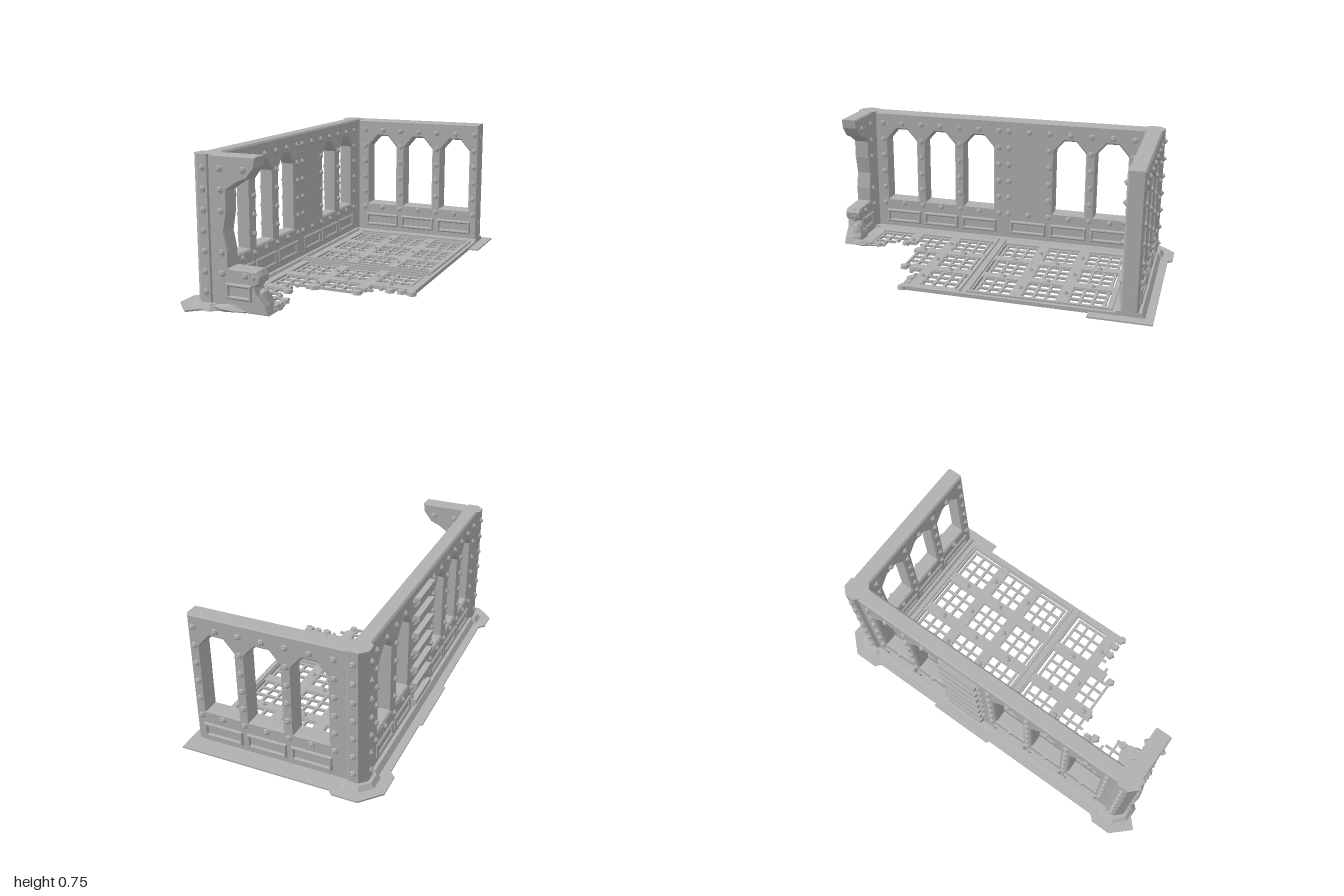
import * as THREE from 'three';
import { mergeGeometries } from 'three/addons/utils/BufferGeometryUtils.js';

const stone = new THREE.MeshStandardMaterial({ color: 0xb0b0b0 });
stone.name = 'grey stone';

const mesh = (name, geo) => {
  const m = new THREE.Mesh(geo, stone);
  m.name = name;
  return m;
};
const merged = (name, geos) => mesh(name, mergeGeometries(geos.map((g) => (g.index ? g.toNonIndexed() : g))));
const polygon = (pts) => new THREE.Shape(pts.map(([x, y]) => new THREE.Vector2(x, y)));

// Box given by its min and max on each axis
const span = (x0, x1, y0, y1, z0, z1) =>
  new THREE.BoxGeometry(x1 - x0, y1 - y0, z1 - z0).translate((x0 + x1) / 2, (y0 + y1) / 2, (z0 + z1) / 2);

// Slab with chamfered edges, centred on z = 0
function slab(shape, half, bevel = 0.009) {
  const depth = 2 * (half - bevel);
  return new THREE.ExtrudeGeometry(shape, {
    depth, bevelEnabled: true, bevelSegments: 1, bevelSize: bevel, bevelThickness: bevel, bevelOffset: -bevel,
  }).translate(0, 0, -depth / 2);
}

// Domed bolt on a round washer, facing +z
function bolt(x, y, z) {
  const washer = new THREE.CylinderGeometry(0.013, 0.017, 0.009, 12).rotateX(Math.PI / 2).translate(0, 0, 0.0045);
  const dome = new THREE.SphereGeometry(0.0085, 8, 3, 0, Math.PI * 2, 0, Math.PI / 2)
    .rotateX(Math.PI / 2).translate(0, 0, 0.008);
  return mergeGeometries([washer, dome]).translate(x, y, z);
}

// Raised rectangular panel moulding, facing +z
function panel(x, z, hw = 0.108) {
  const rect = (w, h) => [[-w, -h], [w, -h], [w, h], [-w, h]];
  const s = polygon(rect(hw, 0.04));
  s.holes.push(polygon(rect(hw - 0.018, 0.022)));
  return slab(s, 0.011, 0.006).translate(x, 0.1, z);
}

// Both faces of a wall share the same details
const bothSides = (geos) => geos.concat(geos.map((g) => g.clone().scale(-1, 1, 1).scale(-1, 1, 1).rotateY(Math.PI)));

const pointed = (cx) => polygon([[-0.09, 0.21], [0.09, 0.21], [0.09, 0.58], [0.033, 0.645], [-0.033, 0.645], [-0.09, 0.58]]
  .map(([x, y]) => [cx + x, y]));

// Wall with windows, bolts and panels, running along its local x
function wall(name, x0, x1, half, bays, windows, posts) {
  const g = new THREE.Group();
  g.name = name;
  const s = polygon([[x0, 0], [x1, 0], [x1, 0.745], [x0, 0.745]]);
  s.holes.push(...windows.map(pointed));
  g.add(mesh('wallSlab', slab(s, half)));
  const bolts = [], panels = [];
  for (const side of [1, -1]) {
    const turn = (geo) => (side < 0 ? geo.rotateY(Math.PI) : geo);
    for (const p of posts) for (let k = 0; k < 6; k++) bolts.push(turn(bolt(p * side, 0.18 + k * 0.1, half)));
    for (const b of bays) {
      for (const y of [0.18, 0.68]) bolts.push(turn(bolt(b * side, y, half)));
      panels.push(turn(panel(b * side, half)));
    }
  }
  g.add(merged('wallBolts', bolts), merged('wallPanels', panels));
  return g;
}

// Octagonal corner post with flared foot and bolts on its outer faces
function cornerPost(name, zSign) {
  const g = new THREE.Group();
  g.name = name;
  const oct = (rt, rb, y0, y1) => {
    const k = Math.cos(Math.PI / 8);
    return new THREE.CylinderGeometry(rt / k, rb / k, y1 - y0, 8).toNonIndexed()
      .rotateY(Math.PI / 8).translate(0, (y0 + y1) / 2, 0);
  };
  const shaft = merged('postShaft', [oct(0.062, 0.062, 0, 0.745), oct(0.08, 0.105, 0, 0.03)]);
  shaft.geometry.computeVertexNormals();
  const bolts = [];
  for (let k = 0; k < 7; k++) {
    bolts.push(bolt(0, 0.08 + 0.1 * k, 0.062).rotateY(zSign > 0 ? 0 : Math.PI));
    bolts.push(bolt(0, 0.08 + 0.1 * k, 0.062).rotateY(-Math.PI / 2));
  }
  g.add(shaft, merged('postBolts', bolts));
  g.position.set(-0.375, 0, 0.845 * zSign);
  return g;
}

// Sloped-sided plinth strip
function plinth(x0, x1, z0, z1) {
  const shape = polygon([[x0, 0], [x1, 0], [x1 - 0.025, 0.032], [x0 + 0.025, 0.032]]);
  return new THREE.ExtrudeGeometry(shape, { depth: z1 - z0, bevelEnabled: false }).translate(0, 0, z0);
}

// Lump of rubble: a sphere pushed in and out by a fixed rule
function rubble(x, y, z, sx, sy, sz) {
  const geo = new THREE.IcosahedronGeometry(1, 2);
  const p = geo.attributes.position;
  for (let i = 0; i < p.count; i++) {
    const [a, b, c] = [p.getX(i), p.getY(i), p.getZ(i)];
    const r = 1 + 0.12 * Math.sin(5 * a + 2 * c) + 0.1 * Math.sin(6 * b + 3 * a);
    p.setXYZ(i, x + a * r * sx, Math.max(0.001, y + b * r * sy), z + c * r * sz);
  }
  geo.computeVertexNormals();
  return geo;
}

// Broken edge of the floor: how far it reaches in x at a given z
function reach(z) {
  const steps = [[0.335, 0.47], [0.38, 0.25], [0.43, 0.2], [0.46, -0.05], [0.6, -0.13], [0.66, -0.1], [0.73, -0.055]];
  const s = steps.find(([limit]) => z < limit);
  return s ? s[1] : -0.045;
}

// Grated floor made of short bar pieces, kept where the floor survives
function gratedFloor() {
  const g = new THREE.Group();
  g.name = 'floor';
  const thin = [], wide = [], bolts = [], trim = [];
  const keep = (x, z) => x < reach(z);
  const centres = [-0.16, 0.08, 0.32];
  for (const cz of [-0.63, -0.39, -0.15, 0.15, 0.39, 0.63]) {
    for (const cx of centres) {
      for (const o of [-0.0925, -0.031, 0.031, 0.0925]) {
        for (let t = -0.08; t < 0.1; t += 0.04) {
          if (keep(cx + o, cz + t)) thin.push(span(cx + o - 0.007, cx + o + 0.007, 0.002, 0.015, cz + t - 0.02, cz + t + 0.02));
          if (keep(cx + t, cz + o)) thin.push(span(cx + t - 0.02, cx + t + 0.02, 0.002, 0.015, cz + o - 0.007, cz + o + 0.007));
        }
      }
    }
  }
  const floorBolt = (x, z) => bolts.push(bolt(0, 0, 0).rotateX(-Math.PI / 2).translate(x, 0.02, z));
  // Wide straps between the bays
  for (const x of [-0.04, 0.2]) {
    for (let z = -0.74; z < 0.74; z += 0.02) {
      if (keep(x, z)) wide.push(span(x - 0.029, x + 0.029, 0, 0.02, z, z + 0.02));
    }
    for (const z of [-0.63, -0.39, -0.15, 0.15, 0.39]) if (keep(x, z)) floorBolt(x, z);
  }
  for (const z of [-0.51, -0.27, 0.27, 0.51]) {
    wide.push(span(-0.27, Math.min(0.43, reach(z) - 0.003), 0, 0.0195, z - 0.029, z + 0.029));
    for (const x of centres) if (keep(x, z)) floorBolt(x, z);
  }
  // Outer frame and centre divider
  wide.push(span(-0.33, -0.27, 0, 0.02, -0.8, 0.8), span(-0.33, 0.47, 0, 0.02, -0.82, -0.74),
    span(0.43, 0.47, 0, 0.02, -0.8, 0.34), span(-0.33, 0.47, 0, 0.02, -0.04, 0.035), span(-0.33, -0.05, 0, 0.02, 0.73, 0.82));
  trim.push(span(0.435, 0.45, 0.02, 0.03, -0.77, -0.03), span(-0.32, 0.45, 0.02, 0.03, -0.03, -0.018),
    span(-0.32, 0.45, 0.02, 0.03, 0.013, 0.025), span(-0.28, 0.45, 0.02, 0.03, -0.77, -0.755));
  // Splintered ends along the break
  const shards = [[0.46, 0.34], [0.4, 0.33], [0.34, 0.335], [0.2, 0.43], [-0.04, 0.44], [-0.13, 0.55], [-0.07, 0.7], [-0.06, 0.78]];
  for (const [x, z] of shards) {
    wide.push(new THREE.CylinderGeometry(0.022, 0.028, 0.018, 5).rotateY(x * 30).translate(x, 0.01, z - 0.01));
  }
  g.add(merged('grating', thin), merged('floorStraps', wide), merged('floorBolts', bolts), merged('floorTrim', trim));
  return g;
}

export function createModel() {
  const model = new THREE.Group();
  model.name = 'ruinedBuilding';

  // Thin ground plate around the walls
  const outline = polygon([[-0.53, -0.9], [-0.435, -1], [-0.305, -1], [-0.28, -0.975], [0.525, -0.975], [0.525, -0.655],
    [0.45, -0.655], [0.45, -0.77], [-0.28, -0.77], [-0.28, 0.76], [-0.06, 0.68], [-0.03, 0.79], [-0.085, 0.86],
    [-0.23, 0.9], [-0.38, 0.95], [-0.435, 1], [-0.53, 0.9], [-0.53, 0.79], [-0.5, 0.76], [-0.5, 0.05], [-0.515, 0.05],
    [-0.515, -0.33], [-0.5, -0.33], [-0.5, -0.74], [-0.53, -0.77]]);
  model.add(mesh('groundPlate', new THREE.ExtrudeGeometry(outline, { depth: 0.008, bevelEnabled: false })
    .rotateX(Math.PI / 2).translate(0, 0.008, 0)));
  model.add(merged('plinths', [plinth(-0.465, -0.295, -0.85, 0.85),
    plinth(0.77, 0.94, -0.375, 0.47).rotateY(Math.PI / 2)]));

  model.add(gratedFloor());

  // Back wall and long left-hand wall
  const back = wall('backWall', -0.375, 0.47, 0.045, [-0.16, 0.08, 0.32], [-0.16, 0.08, 0.32], [-0.28, -0.04, 0.2, 0.44]);
  back.position.z = -0.855;
  const sockets = [0.12, 0.66].map((y) => new THREE.CylinderGeometry(0.02, 0.02, 0.004, 16)
    .rotateZ(Math.PI / 2).translate(0.471, y, 0));
  back.add(merged('endSockets', sockets));
  const side = wall('sideWall', -0.845, 0.845, 0.042, [-0.63, -0.39, -0.15, 0.15, 0.39, 0.63],
    [-0.63, -0.39, 0.15, 0.39, 0.63], [-0.75, -0.51, -0.27, -0.03, 0.03, 0.27, 0.51, 0.75]);
  side.position.x = -0.38;
  side.rotation.y = -Math.PI / 2;
  model.add(back, side, cornerPost('backPost', -1), cornerPost('frontPost', 1));

  // Louvre fins on the outside of the solid bay
  const fin = polygon([[-0.41, 0], [-0.41, -0.055], [-0.435, -0.045], [-0.455, -0.02], [-0.455, 0.005]]);
  const fins = [];
  for (let k = 0; k < 7; k++) {
    fins.push(new THREE.ExtrudeGeometry(fin, { depth: 0.23, bevelEnabled: false }).translate(0, 0.7 - 0.1 * k, -0.265));
  }
  model.add(merged('louvres', fins));

  // Broken remains of the front wall
  const remains = polygon([[-0.36, 0], [-0.04, 0], [-0.06, 0.04], [-0.1, 0.09], [-0.115, 0.13], [-0.085, 0.15],
    [-0.08, 0.185], [-0.1, 0.208], [-0.25, 0.21], [-0.25, 0.29], [-0.268, 0.38], [-0.25, 0.48], [-0.25, 0.58],
    [-0.19, 0.62], [-0.14, 0.64], [-0.097, 0.695], [-0.09, 0.745], [-0.36, 0.745]]);
  const stub = new THREE.Group();
  stub.name = 'brokenFrontWall';
  stub.position.z = 0.855;
  const details = [];
  for (const s of [1, -1]) {
    const turn = (geo) => (s < 0 ? geo.rotateY(Math.PI) : geo);
    for (let k = 0; k < 6; k++) if (k !== 2) details.push(turn(bolt(-0.285 * s, 0.18 + 0.1 * k, 0.045)));
    for (const y of [0.18, 0.68]) details.push(turn(bolt(-0.16 * s, y, 0.045)));
    details.push(turn(panel(-0.195 * s, 0.045, 0.07)));
  }
  stub.add(mesh('brokenSlab', slab(remains, 0.045, 0.006)), merged('brokenWallDetails', details));
  model.add(stub);
  model.add(merged('rubble', [rubble(-0.115, 0.17, 0.855, 0.038, 0.04, 0.045), rubble(-0.11, 0.04, 0.84, 0.06, 0.07, 0.05),
    rubble(-0.27, 0.008, 0.89, 0.13, 0.025, 0.035), rubble(-0.06, 0.01, 0.8, 0.03, 0.02, 0.05)]));
  return model;
}
